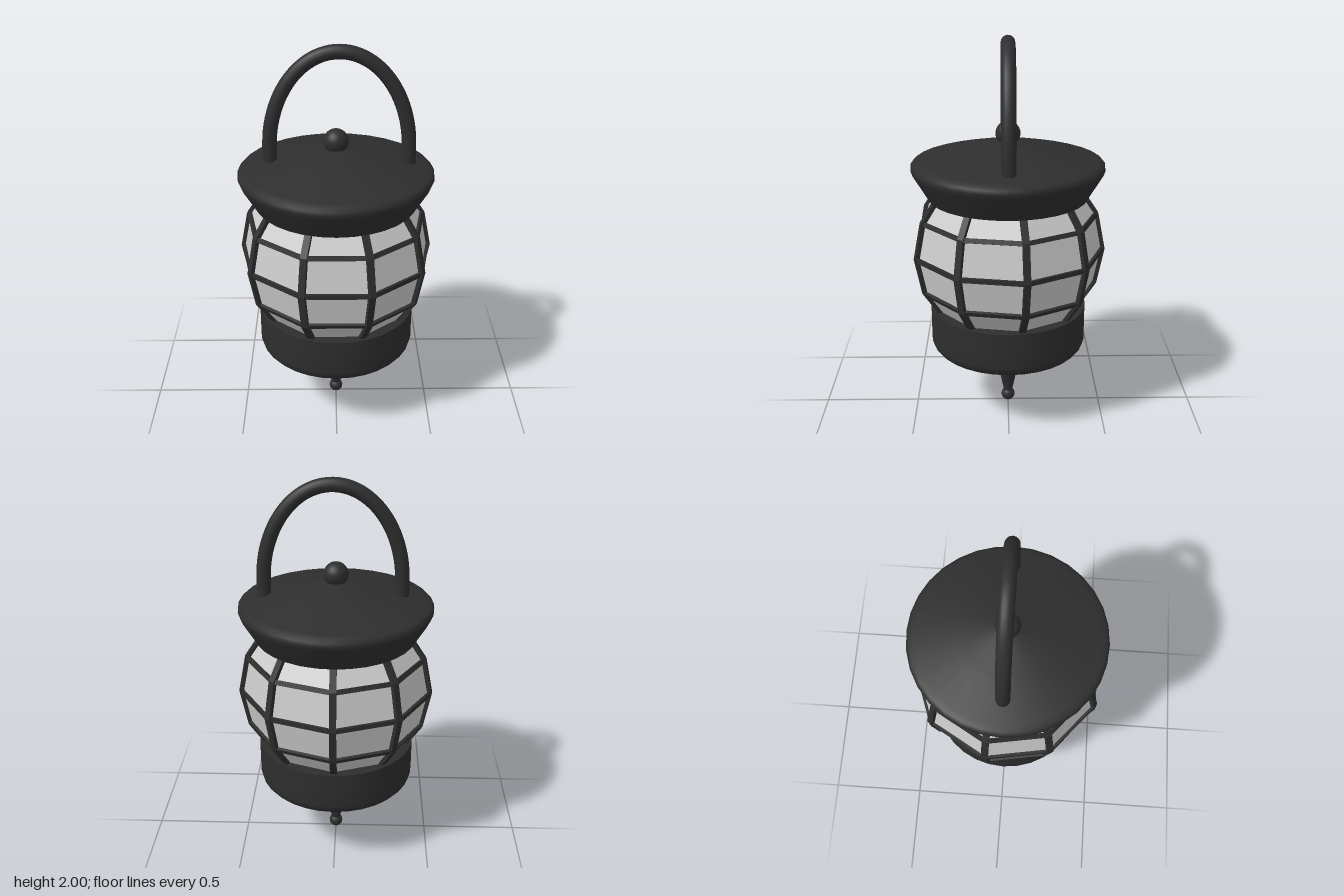
import * as THREE from 'three';

const metal = new THREE.MeshStandardMaterial({ color: 0x2e2e2e });
const metalFlat = new THREE.MeshStandardMaterial({ color: 0x2e2e2e, flatShading: true });
const pane = new THREE.MeshStandardMaterial({ color: 0xcccccc, flatShading: true, side: THREE.DoubleSide });

const SIDES = 9;
const GLOBE_R = 0.49;
const GLOBE_Y = 0.9;

function add(parent, name, geometry, material, y = 0) {
  const mesh = new THREE.Mesh(geometry, material);
  mesh.name = name;
  mesh.position.y = y;
  parent.add(mesh);
  return mesh;
}

function lathe(profile) {
  return new THREE.LatheGeometry(profile.map(([r, y]) => new THREE.Vector2(r, y)), 32);
}

// Corner of the faceted globe: ring -2..2 in height, side 0..8 around, side 0 at the back
function corner(ring, side) {
  const lat = ring * Math.PI / 8;
  const a = side * 2 * Math.PI / SIDES;
  const r = GLOBE_R * Math.cos(lat);
  return new THREE.Vector3(r * Math.sin(a), GLOBE_Y + GLOBE_R * Math.sin(lat), -r * Math.cos(a));
}

// Square bar between two points, with its depth axis turned away from the globe's centre
function bar(parent, name, a, b, width, depth) {
  const mid = a.clone().add(b).multiplyScalar(0.5);
  const along = b.clone().sub(a);
  const length = along.length();
  along.normalize();
  const out = mid.clone().sub(new THREE.Vector3(0, GLOBE_Y, 0));
  out.addScaledVector(along, -out.dot(along)).normalize();
  const across = along.clone().cross(out);
  const mesh = add(parent, name, new THREE.BoxGeometry(width, length + 0.006, depth), metalFlat);
  mesh.quaternion.setFromRotationMatrix(new THREE.Matrix4().makeBasis(across, along, out));
  mesh.position.copy(mid);
}

export function createModel() {
  const lantern = new THREE.Group();
  lantern.name = 'lantern';

  // Faceted glass globe
  add(lantern, 'glass', new THREE.SphereGeometry(GLOBE_R, SIDES, 4, -Math.PI / 2, Math.PI * 2,
    Math.PI / 4, Math.PI / 2), pane, GLOBE_Y);

  // Cage following the edges of the globe
  const cage = new THREE.Group();
  cage.name = 'cage';
  lantern.add(cage);
  for (let side = 0; side < SIDES; side++) {
    for (let ring = -2; ring < 2; ring++) {
      bar(cage, 'rib', corner(ring, side), corner(ring + 1, side), 0.034, 0.03);
    }
    for (let ring = -1; ring <= 1; ring++) {
      bar(cage, 'crossbar', corner(ring, side), corner(ring, side + 1), 0.024, 0.024);
    }
  }

  // Roof: flared skirt, rounded rim and shallow cone
  add(lantern, 'roof', lathe([[0.41, 1.19], [0.45, 1.258], [0.484, 1.315], [0.494, 1.34],
    [0.492, 1.36], [0.478, 1.374], [0.45, 1.383], [0.24, 1.437], [0, 1.49]]), metal);
  add(lantern, 'roofUnderside', new THREE.CircleGeometry(0.41, 32).rotateX(Math.PI / 2), metal, 1.19);
  add(lantern, 'roofBall', new THREE.SphereGeometry(0.063, 24, 16), metal, 1.515);

  // Base cup with rounded lower edge
  add(lantern, 'base', lathe([[0, 0.225], [0.2, 0.29], [0.35, 0.342], [0.385, 0.36],
    [0.402, 0.38], [0.41, 0.41], [0.41, 0.5], [0.41, 0.595]]), metal);
  add(lantern, 'baseTop', new THREE.CircleGeometry(0.41, 32).rotateX(-Math.PI / 2), metal, 0.595);

  // Hanging spike and ball
  add(lantern, 'spike', new THREE.CylinderGeometry(0.06, 0.02, 0.2, 24), metal, 0.145);
  add(lantern, 'spikeBall', new THREE.SphereGeometry(0.036, 20, 14), metal, 0.037);

  // Arched handle, set slightly off centre
  const arch = [new THREE.Vector3(-0.329, 1.38, 0)];
  for (let i = 0; i <= 16; i++) {
    const a = Math.PI * (1 - i / 16);
    arch.push(new THREE.Vector3(0.016 + 0.345 * Math.cos(a), 1.48 + 0.484 * Math.sin(a), 0));
  }
  arch.push(new THREE.Vector3(0.361, 1.38, 0));
  add(lantern, 'handle', new THREE.TubeGeometry(new THREE.CatmullRomCurve3(arch), 64, 0.036, 16), metal);

  return lantern;
}
